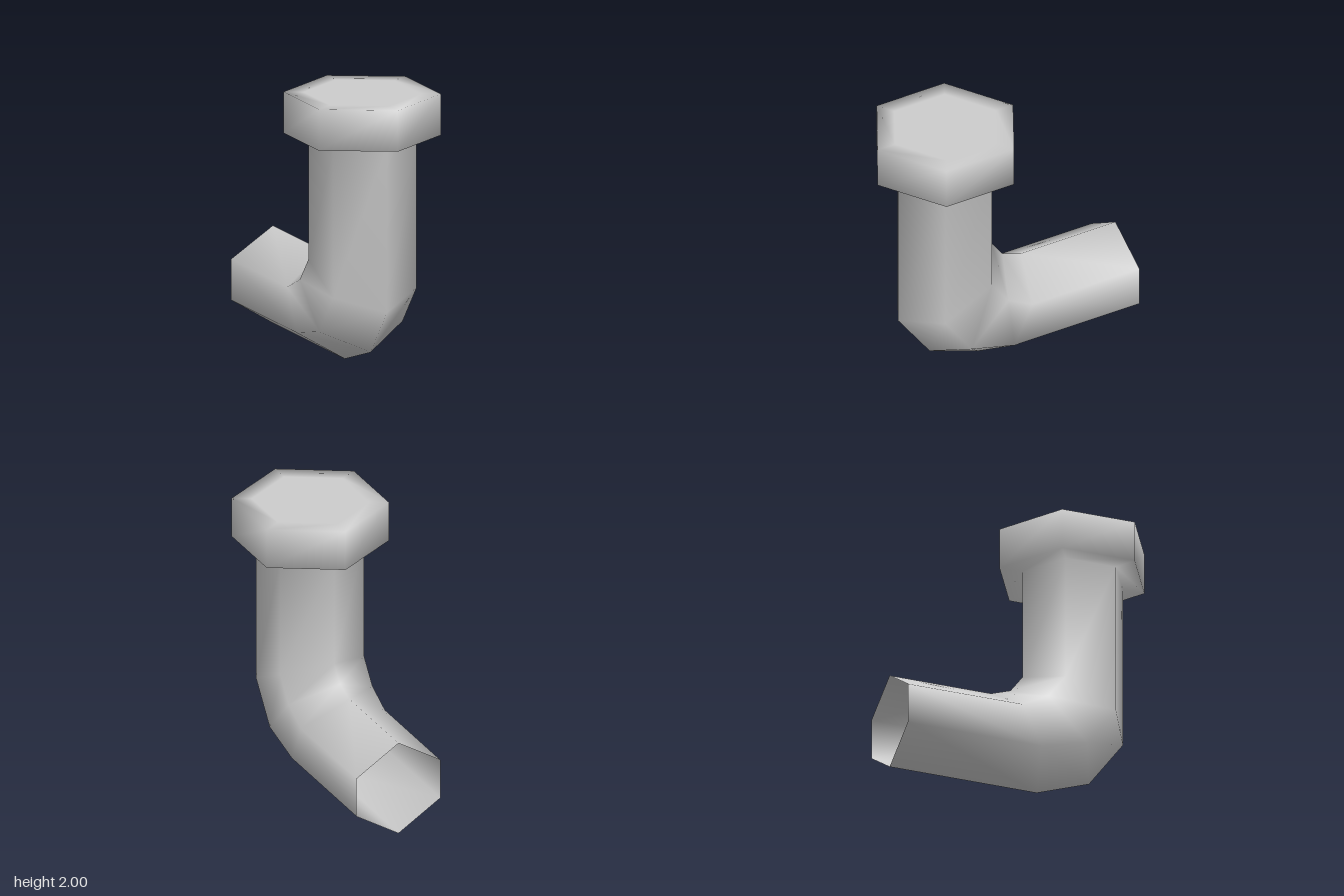
import * as THREE from 'three';

// Six-sided ring in a tilted plane, spanning from an inner point to an outer point (z, y)
function hexRing([zi, yi], [zo, yo], halfWidth, f = 0.25) {
  const at = (t, x) => [x, yi + (yo - yi) * t, zi + (zo - zi) * t];
  return [
    at(0, 0), at(f, -halfWidth), at(1 - f, -halfWidth),
    at(1, 0), at(1 - f, halfWidth), at(f, halfWidth),
  ];
}

export function createModel() {
  const group = new THREE.Group();
  const grey = new THREE.MeshStandardMaterial({ color: 0xcccccc, side: THREE.DoubleSide });
  grey.name = 'light grey';

  const rings = [
    // open end of the horizontal pipe
    hexRing([-0.975, 0.71], [-0.975, 0], 0.33, 0.29),
    // elbow
    hexRing([-0.2, 0.71], [0.15, 0], 0.33, 0.29),
    hexRing([-0.05, 0.76], [0.55, 0.14], 0.33),
    hexRing([0.04, 0.88], [0.81, 0.49], 0.33),
    // top of the upright pipe
    hexRing([0.04, 1.7], [0.81, 1.7], 0.33),
    // hexagonal cap: lower rim, upper rim, inset of the flat top
    hexRing([-0.135, 1.7], [0.975, 1.7], 0.482),
    hexRing([-0.135, 2], [0.975, 2], 0.482),
    hexRing([0.005, 2], [0.835, 2], 0.36),
  ];
  const points = rings.flat();
  const centre = points.push([0, 2, 0.42]) - 1;

  // Faces between consecutive rings
  const skin = (from, to) => {
    const index = [];
    for (let r = from; r < to; r++) {
      for (let i = 0; i < 6; i++) {
        const j = (i + 1) % 6;
        const a = r * 6 + i, b = r * 6 + j;
        index.push(a, b, b + 6, a, b + 6, a + 6);
      }
    }
    return index;
  };
  const pipeIndex = skin(0, 4);
  const capIndex = skin(4, 7);
  for (let i = 0; i < 6; i++) capIndex.push(42 + i, 42 + ((i + 1) % 6), centre);

  // Smooth normals run continuously across pipe and cap
  const whole = new THREE.BufferGeometry();
  whole.setAttribute('position', new THREE.Float32BufferAttribute(points.flat(), 3));
  whole.setIndex([...pipeIndex, ...capIndex]);
  whole.computeVertexNormals();

  for (const [name, index] of [['elbowPipe', pipeIndex], ['hexCap', capIndex]]) {
    const geometry = whole.clone();
    geometry.setIndex(index);
    const mesh = new THREE.Mesh(geometry, grey);
    mesh.name = name;
    group.add(mesh);
  }
  return group;
}
